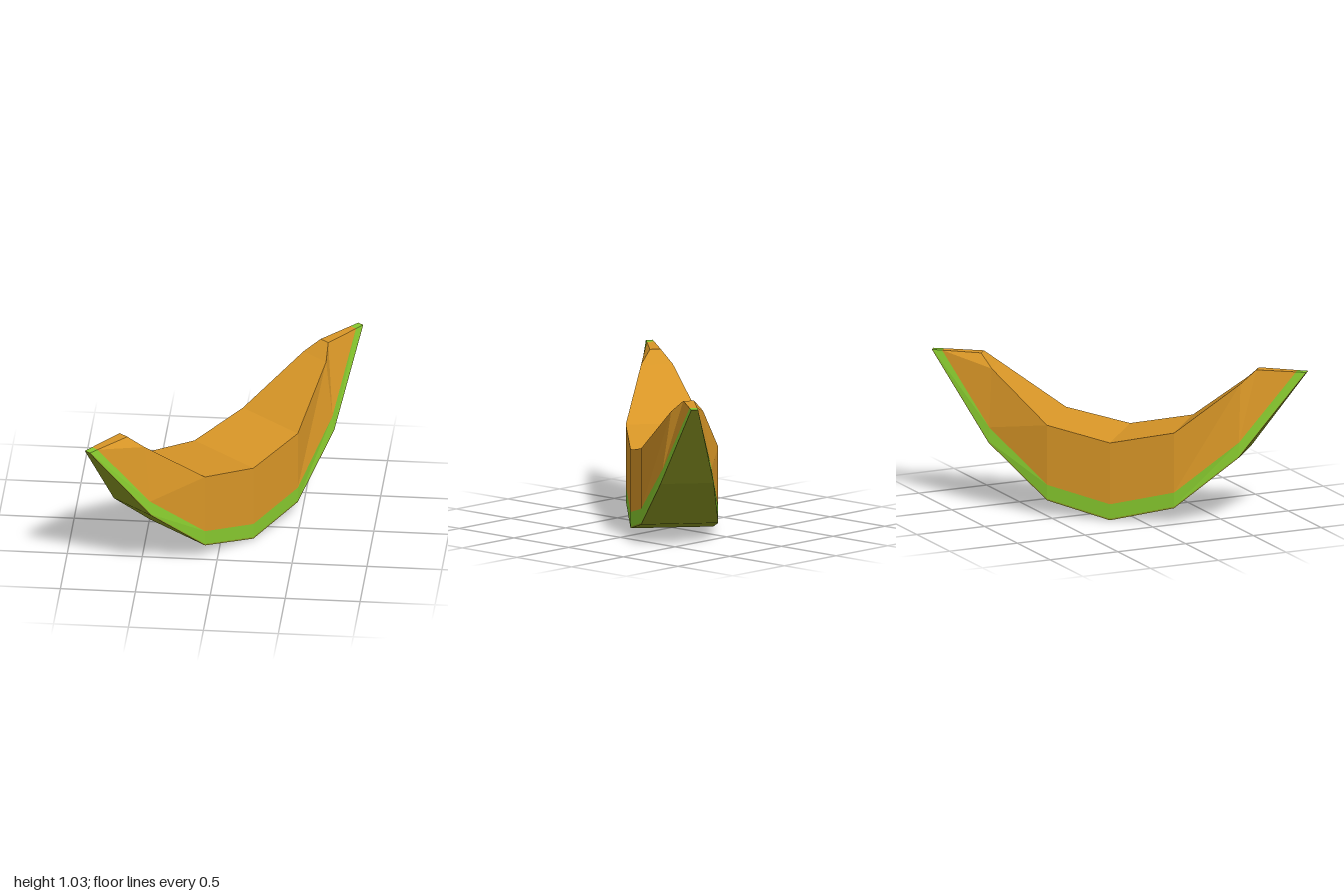
import * as THREE from 'three';

// Cross-sections from the middle to one tip:
// [outer along, outer height, outer half width, inner along, inner height, inner half width]
const HALF = [
  [0, 0, 0.277, 0, 0.53, 0.277],
  [0.435, 0.105, 0.258, 0.435, 0.62, 0.258],
  [0.856, 0.455, 0.178, 0.852, 0.945, 0.106],
  [1.283, 1.03, 0.023, 0.942, 1.03, 0.036],
];
// Where the colour bands end, from the outer rind to the inner flesh
const BANDS = [0, 0.02, 0.207, 1];

export function createModel() {
  const model = new THREE.Group();
  const slice = new THREE.Group();
  slice.name = 'melonSlice';
  slice.rotation.y = 0.875; // the slice lies diagonally
  model.add(slice);

  const mirrored = HALF.slice(1).reverse().map(([a, b, c, d, e, f]) => [-a, b, c, -d, e, f]);
  const sections = [...mirrored, ...HALF];

  // Eight points around each section: up the +z side, down the -z side
  const rings = sections.map(([ox, oy, ow, ix, iy, iw]) => {
    const side = BANDS.map((t) => new THREE.Vector3(ox, oy, ow).lerp(new THREE.Vector3(ix, iy, iw), t));
    const other = side.map((p) => new THREE.Vector3(p.x, p.y, -p.z)).reverse();
    return [...side, ...other];
  });

  const faces = { rind: [], pith: [], flesh: [] };
  const quad = (part, a, b, c, d) => {
    for (const p of [a, b, c, a, c, d]) faces[part].push(p.x, p.y, p.z);
  };

  // Long strips between neighbouring sections
  const strips = ['rind', 'pith', 'flesh', 'flesh', 'flesh', 'pith', 'rind', 'rind'];
  for (let s = 0; s < rings.length - 1; s++) {
    strips.forEach((part, j) => {
      const k = (j + 1) % 8;
      quad(part, rings[s][j], rings[s + 1][j], rings[s + 1][k], rings[s][k]);
    });
  }

  // Flat cut ends
  const first = rings[0], last = rings[rings.length - 1];
  for (let j = 0; j < 3; j++) {
    quad(strips[j], last[j], last[7 - j], last[6 - j], last[j + 1]);
    quad(strips[j], first[j + 1], first[6 - j], first[7 - j], first[j]);
  }

  const colors = { rind: 0x8a9622, pith: 0x86c82e, flesh: 0xd89627 };
  for (const [name, positions] of Object.entries(faces)) {
    const geometry = new THREE.BufferGeometry();
    geometry.setAttribute('position', new THREE.Float32BufferAttribute(positions, 3));
    geometry.computeVertexNormals();
    const material = new THREE.MeshStandardMaterial({ color: colors[name] });
    material.name = name + 'Colour';
    const mesh = new THREE.Mesh(geometry, material);
    mesh.name = name;
    slice.add(mesh);
  }
  return model;
}
